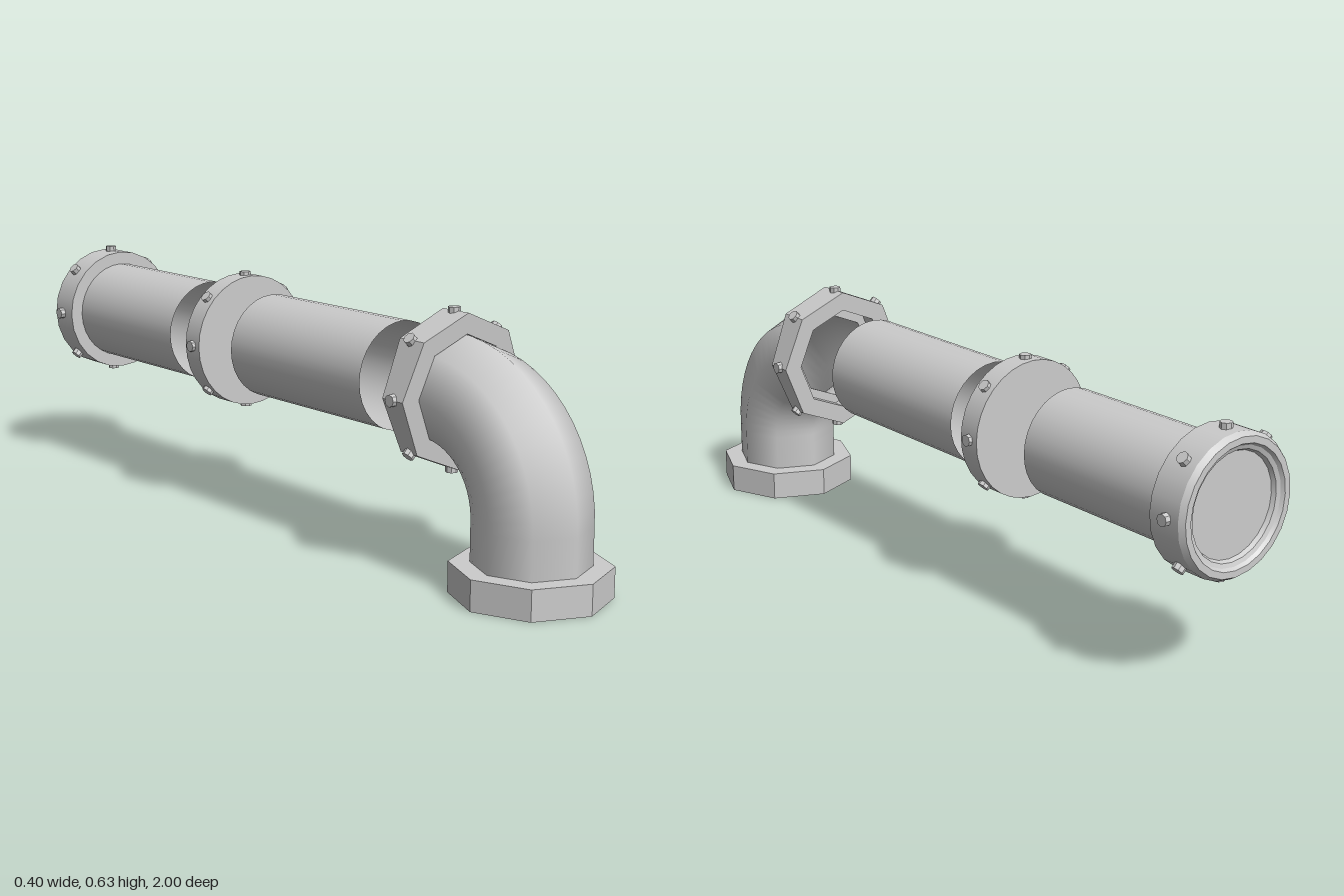
import * as THREE from 'three';

const AXIS_Y = 0.44;
const mat = new THREE.MeshStandardMaterial({ color: 0xcccccc });
const thin = new THREE.MeshStandardMaterial({ color: 0xcccccc, side: THREE.DoubleSide });
const flat = new THREE.MeshStandardMaterial({ color: 0xcccccc, flatShading: true });

function add(parent, name, geometry, material, x = 0, y = 0, z = 0) {
  const mesh = new THREE.Mesh(geometry, material);
  mesh.name = name;
  mesh.position.set(x, y, z);
  parent.add(mesh);
  return mesh;
}

// Centre line of the elbow: a short rise, then a quarter turn towards -z
class ElbowCurve extends THREE.Curve {
  getPoint(t, target = new THREE.Vector3()) {
    const split = 0.22, r = 0.26, startY = 0.05, turnY = 0.175;
    if (t < split) return target.set(0, startY + (turnY - startY) * t / split, 0.81);
    const a = (t - split) / (1 - split) * Math.PI / 2;
    return target.set(0, turnY + r * Math.sin(a), 0.55 + r * Math.cos(a));
  }
}

function octagon(r, Type) {
  const points = [];
  for (let i = 0; i < 8; i++) {
    const a = i * Math.PI / 4;
    points.push(new THREE.Vector2(r * Math.cos(a), r * Math.sin(a)));
  }
  return new Type(points);
}

// Eight-sided ring, extruded along z from 0 to depth
function octagonRing(outer, inner, depth) {
  const shape = octagon(outer, THREE.Shape);
  shape.holes.push(octagon(inner, THREE.Path));
  return new THREE.ExtrudeGeometry(shape, { depth, bevelEnabled: false });
}

// Eight bolt heads pointing outward around the z axis
function addBolts(parent, y, z, tip) {
  const length = 0.035;
  for (let i = 0; i < 8; i++) {
    const a = i * Math.PI / 4, r = tip - length / 2;
    const bolt = add(parent, 'bolt', new THREE.CylinderGeometry(0.015, 0.015, length, 8), flat,
      r * Math.cos(a), y + r * Math.sin(a), z);
    bolt.rotation.z = a - Math.PI / 2;
  }
}

// Open straight pipe between two z positions
function addPipe(parent, name, z0, z1) {
  const geo = new THREE.CylinderGeometry(0.136, 0.136, Math.abs(z1 - z0), 32, 1, true);
  geo.rotateX(Math.PI / 2);
  add(parent, name, geo, thin, 0, AXIS_Y, (z0 + z1) / 2);
}

export function createModel() {
  const model = new THREE.Group();
  model.name = 'pipeSet';

  // Elbow with wall thickness and closed rims
  const elbow = new THREE.Group();
  elbow.name = 'elbow';
  model.add(elbow);
  const curve = new ElbowCurve();
  add(elbow, 'elbowOuterWall', new THREE.TubeGeometry(curve, 18, 0.14, 8), thin);
  add(elbow, 'elbowInnerWall', new THREE.TubeGeometry(curve, 18, 0.115, 8), thin);
  const rim = new THREE.RingGeometry(0.115, 0.14, 8);
  add(elbow, 'elbowLowerRim', rim, thin, 0, 0.05, 0.81).rotation.x = Math.PI / 2;
  add(elbow, 'elbowUpperRim', rim, thin, 0, 0.435, 0.55);

  // Base flange
  const base = octagonRing(0.19, 0.14, 0.075);
  base.rotateX(-Math.PI / 2);
  add(elbow, 'baseFlange', base, flat, 0, 0, 0.81);

  // Upper flange, slightly thicker at its top
  const upper = octagonRing(0.19, 0.14, 0.07);
  const p = upper.attributes.position;
  for (let i = 0; i < p.count; i++) {
    const y = p.getY(i), front = p.getZ(i) > 0.035;
    p.setZ(i, p.getZ(i) + y * (front ? 0.07 : -0.026));
  }
  upper.computeVertexNormals();
  add(elbow, 'upperFlange', upper, flat, 0, 0.435, 0.506);
  addBolts(elbow, 0.435, 0.54, 0.199);

  // Straight pipes
  addPipe(model, 'middlePipe', 0.36, -0.16);
  addPipe(model, 'endPipe', -0.44, -0.95);

  // Coupling disc
  const coupling = new THREE.Group();
  coupling.name = 'coupling';
  model.add(coupling);
  const disc = new THREE.CylinderGeometry(0.175, 0.175, 0.06, 32);
  disc.rotateX(Math.PI / 2);
  add(coupling, 'couplingDisc', disc, mat, 0, AXIS_Y, -0.28);
  addBolts(coupling, AXIS_Y, -0.28, 0.184);

  // End cap with a bevelled lip around a recessed face
  const cap = new THREE.Group();
  cap.name = 'endCap';
  model.add(cap);
  const profile = [[0, 0.978], [0.125, 0.978], [0.13, 0.988], [0.14, 0.992], [0.146, 1],
    [0.162, 1], [0.171, 0.986], [0.171, 0.9], [0.13, 0.9]];
  // Each band is its own lathe so that its edges stay sharp
  for (let i = 0; i < profile.length - 1; i++) {
    const band = [profile[i + 1], profile[i]].map(([r, d]) => new THREE.Vector2(r, d));
    const geo = new THREE.LatheGeometry(band, 24);
    geo.rotateX(-Math.PI / 2);
    add(cap, 'capBand', geo, thin, 0, AXIS_Y, 0);
  }
  addBolts(cap, AXIS_Y, -0.95, 0.184);

  return model;
}
